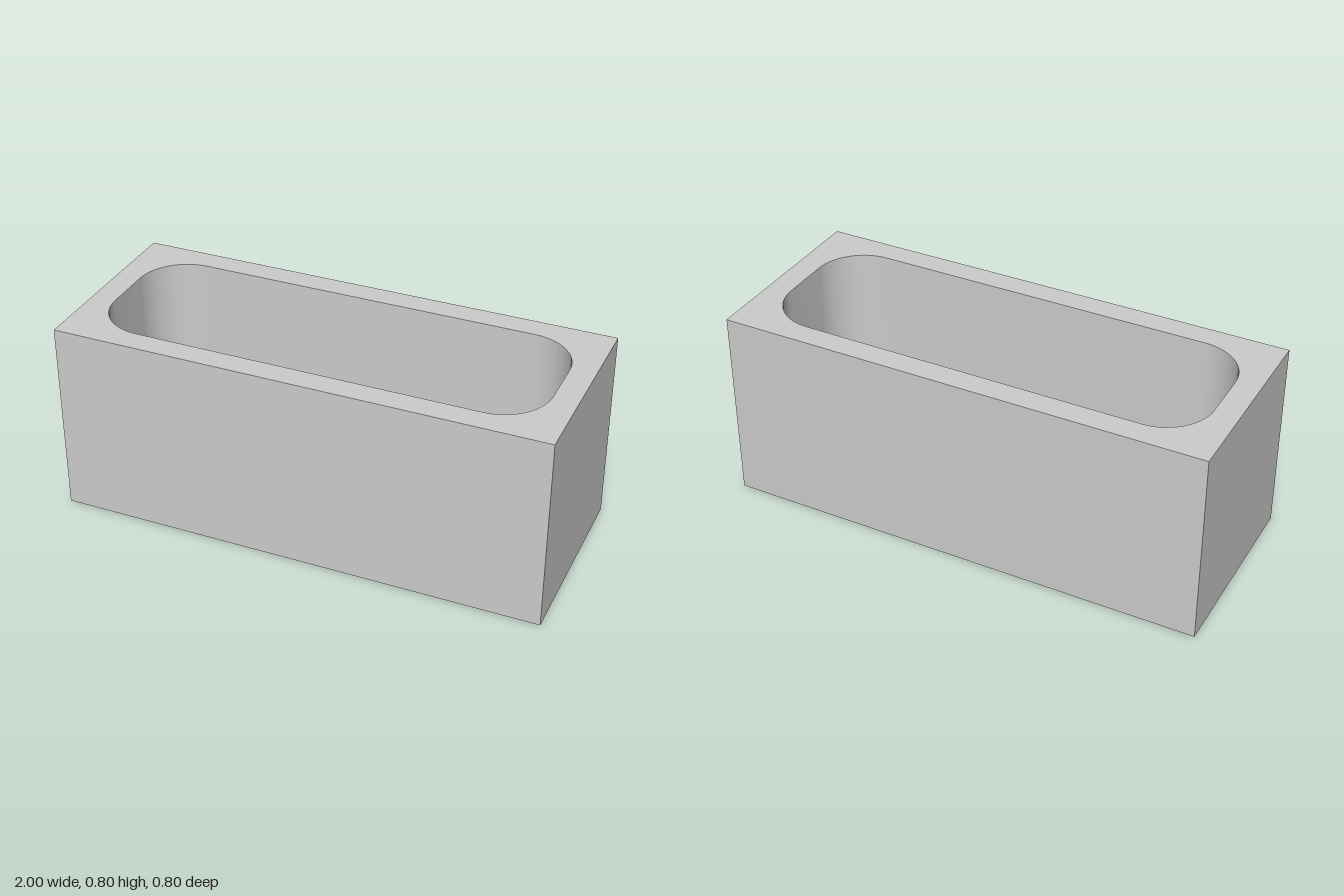
import * as THREE from 'three';
import { toCreasedNormals } from 'three/addons/utils/BufferGeometryUtils.js';

const LENGTH = 2, WIDTH = 0.8, HEIGHT = 0.8;
const RIM = 0.1, FLOOR = 0.1, RADIUS = 0.2, SEGMENTS = 16;

// Rectangle centred on the origin, with rounded corners when r > 0
function rectangle(w, d, r) {
  const shape = new THREE.Shape();
  if (r === 0) {
    return shape.moveTo(-w / 2, -d / 2).lineTo(w / 2, -d / 2).lineTo(w / 2, d / 2).lineTo(-w / 2, d / 2);
  }
  const x = w / 2 - r, y = d / 2 - r;
  [[x, -y], [x, y], [-x, y], [-x, -y]].forEach(([cx, cy], i) => {
    shape.absarc(cx, cy, r, (i - 1) * Math.PI / 2, i * Math.PI / 2, false);
  });
  return shape.closePath();
}

// Flat shape laid horizontally, facing up, at height y
function flat(shape, y) {
  return new THREE.ShapeGeometry(shape, SEGMENTS).rotateX(-Math.PI / 2).translate(0, y, 0);
}

// Vertical wall following an outline, facing inward
function inwardWall(outline, y0, y1) {
  const pos = [];
  for (let i = 0; i < outline.length; i++) {
    const a = outline[i], b = outline[(i + 1) % outline.length];
    if (a.distanceTo(b) < 1e-6) continue;
    const a0 = [a.x, y0, -a.y], a1 = [a.x, y1, -a.y];
    const b0 = [b.x, y0, -b.y], b1 = [b.x, y1, -b.y];
    pos.push(...a0, ...a1, ...b1, ...a0, ...b1, ...b0);
  }
  const geometry = new THREE.BufferGeometry();
  geometry.setAttribute('position', new THREE.Float32BufferAttribute(pos, 3));
  return toCreasedNormals(geometry, 0.5);
}

export function createModel() {
  const group = new THREE.Group();
  group.name = 'bathtub';
  const material = new THREE.MeshStandardMaterial({ color: 0xcccccc });
  const add = (name, geometry) => {
    const mesh = new THREE.Mesh(geometry, material);
    mesh.name = name;
    group.add(mesh);
  };

  // Outer casing: a box without its top face
  const casing = new THREE.BoxGeometry(LENGTH, HEIGHT, WIDTH).translate(0, HEIGHT / 2, 0);
  const index = Array.from(casing.index.array);
  index.splice(12, 6);
  casing.setIndex(index);
  casing.clearGroups();
  add('casing', casing);

  // Rim around the rounded opening
  const opening = rectangle(LENGTH - 2 * RIM, WIDTH - 2 * RIM, RADIUS);
  const rim = rectangle(LENGTH, WIDTH, 0);
  rim.holes.push(opening);
  add('rim', flat(rim, HEIGHT));

  // Basin sunk into the casing
  add('basinWall', inwardWall(opening.getPoints(SEGMENTS), FLOOR, HEIGHT));
  add('basinFloor', flat(opening, FLOOR));

  return group;
}
